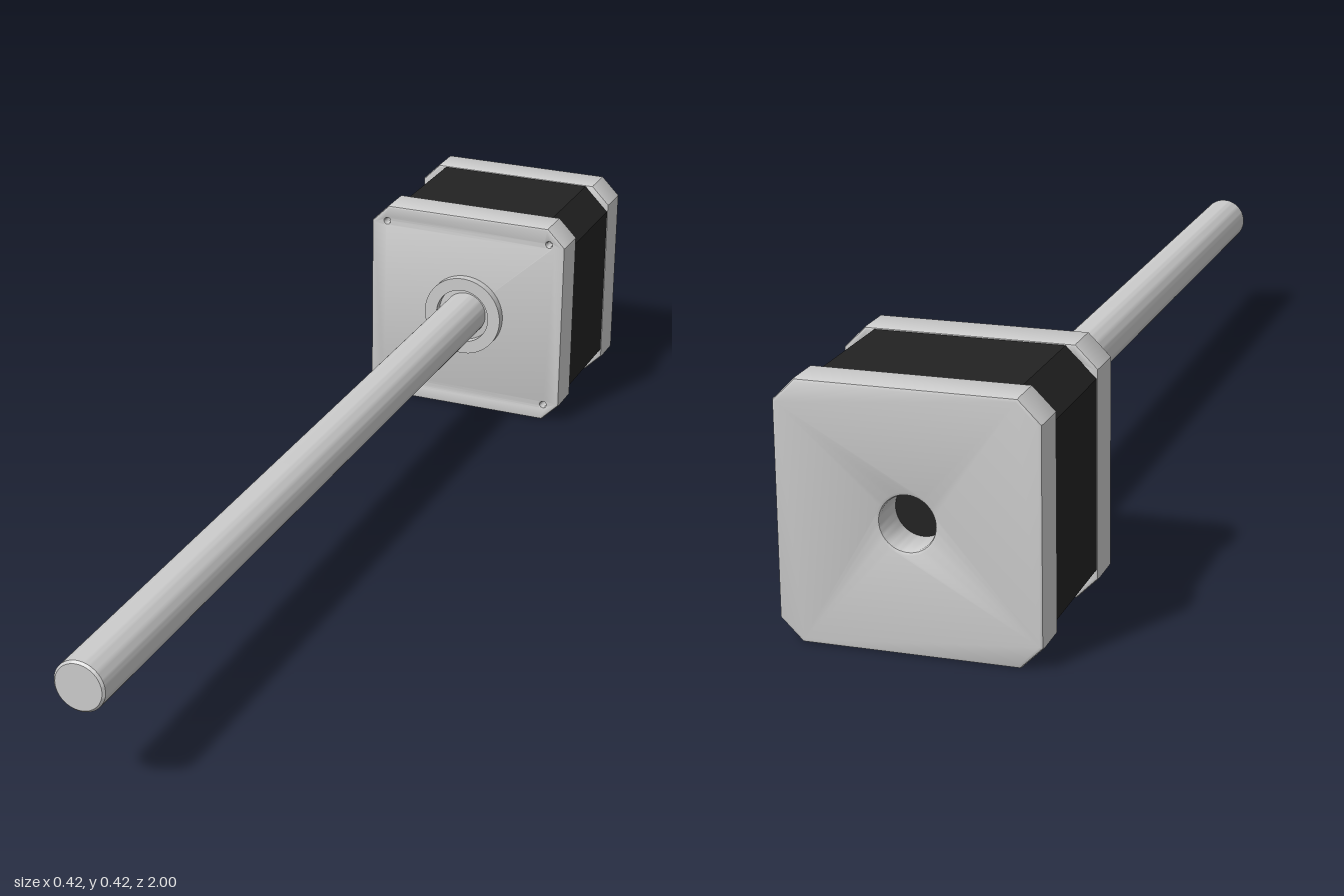
import * as THREE from 'three';
import { toCreasedNormals } from 'three/addons/utils/BufferGeometryUtils.js';

const CY = 0.212; // height of the motor axis
const grey = new THREE.MeshStandardMaterial({ color: 0xcccccc });
const black = new THREE.MeshStandardMaterial({ color: 0x222222 });

// Square outline with cut corners, optionally pierced by round holes [x, y, r]
function plateShape(half, cut, holes = []) {
  const a = half, b = half - cut;
  const shape = new THREE.Shape(
    [[b, -a], [a, -b], [a, b], [b, a], [-b, a], [-a, b], [-a, -b], [-b, -a]]
      .map(([x, y]) => new THREE.Vector2(x, y)));
  for (const [x, y, r] of holes) {
    shape.holes.push(new THREE.Path().absarc(x, y, r, 0, Math.PI * 2, true));
  }
  return shape;
}

// Plate between two depths, edges softened by a small bevel
function plate(shape, z0, z1, bevel) {
  const geo = new THREE.ExtrudeGeometry(shape, {
    depth: z1 - z0 - 2 * bevel, curveSegments: 24,
    bevelEnabled: bevel > 0, bevelSize: bevel, bevelThickness: bevel,
    bevelOffset: -bevel, bevelSegments: 2,
  });
  geo.translate(0, 0, z0 + bevel);
  return toCreasedNormals(geo, 0.6);
}

// Turned part around the z axis from [radius, z] points
function turned(points) {
  const geo = new THREE.LatheGeometry(points.map(([r, z]) => new THREE.Vector2(r, z)), 64);
  geo.rotateX(Math.PI / 2);
  return toCreasedNormals(geo, 0.6);
}

export function createModel() {
  const group = new THREE.Group();
  const add = (name, geo, mat = grey) => {
    const mesh = new THREE.Mesh(geo, mat);
    mesh.name = name;
    mesh.position.y = CY;
    group.add(mesh);
    return mesh;
  };

  // Motor housing: black core between two end caps
  const p = 0.178;
  const corners = [[p, p], [-p, p], [-p, -p], [p, -p]];
  const screwHoles = corners.map(([x, y]) => [x, y, 0.006]);
  add('motorCore', plate(plateShape(0.209, 0.05), -0.932, -0.71, 0), black);
  add('frontCap', plate(plateShape(0.212, 0.037, screwHoles), -0.715, -0.64, 0.005));
  add('rearCap', plate(plateShape(0.212, 0.037, [[0, 0, 0.044]]), -1, -0.927, 0.006));

  // Floors of the screw holes
  for (const [x, y] of corners) {
    const floor = add('screwHoleFloor', new THREE.CircleGeometry(0.0065, 24));
    floor.position.set(x, CY + y, -0.665);
  }

  // Raised pilot ring around the shaft
  add('pilotRing', turned([[0.083, -0.645], [0.083, -0.622], [0.057, -0.622], [0.057, -0.645]]));

  // Long output shaft with a chamfered tip
  add('shaft', turned([[0.045, -0.65], [0.045, 0.996], [0.041, 1], [0, 1]]));

  return group;
}
